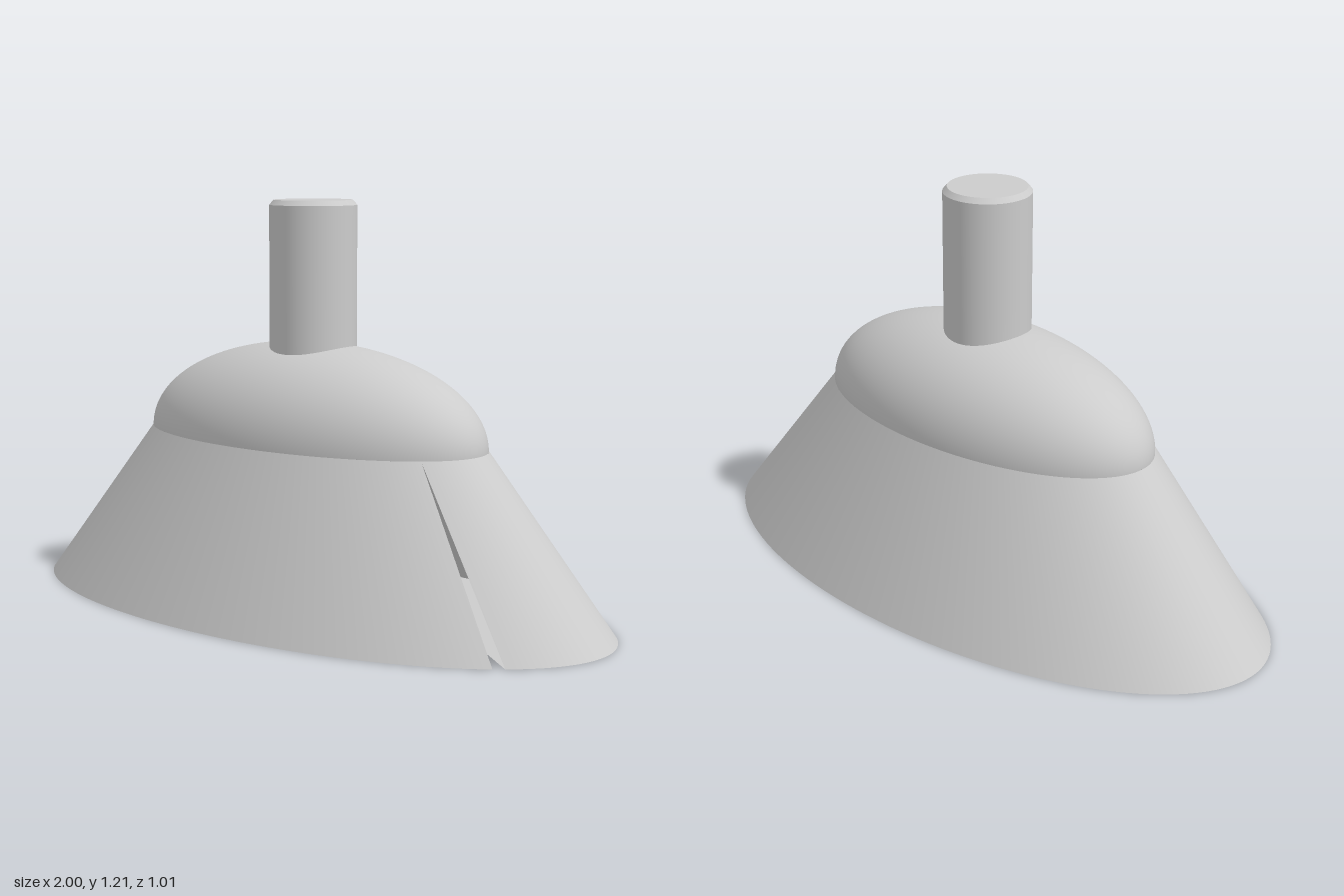
import * as THREE from 'three';

const SEGMENTS = 128;
const START = 0.56; // angle of the slit on the rim
const FAN = 82; // rim point from which the underside fans out
const SKIRT_H = 0.5;

const material = new THREE.MeshStandardMaterial({ color: 0xcccccc, side: THREE.DoubleSide });

function add(group, name, geometry, y = 0) {
  const mesh = new THREE.Mesh(geometry, material);
  mesh.name = name;
  mesh.position.y = y;
  group.add(mesh);
}

// One elliptical ring of points at height y
function ring(rx, rz, y) {
  const out = [];
  for (let i = 0; i < SEGMENTS; i++) {
    const t = START + (i * 2 * Math.PI) / SEGMENTS;
    out.push(rx * Math.cos(t), y, rz * Math.sin(t));
  }
  return out;
}

function meshFrom(positions, index) {
  const g = new THREE.BufferGeometry();
  g.setAttribute('position', new THREE.Float32BufferAttribute(positions, 3));
  g.setIndex(index);
  g.computeVertexNormals();
  return g;
}

export function createModel() {
  const model = new THREE.Group();
  model.name = 'ellipticalFoot';

  // Flared skirt and underside, both open at the first segment (narrow slit)
  const rim = ring(1, 0.505, 0);
  const shoulder = ring(0.59, 0.3, SKIRT_H);
  const sideIndex = [];
  const baseIndex = [];
  for (let i = 0; i < SEGMENTS; i++) {
    const j = (i + 1) % SEGMENTS;
    if (i > 0) sideIndex.push(i, SEGMENTS + i, j);
    sideIndex.push(SEGMENTS + i, SEGMENTS + j, j);
    if (i > 0 && i !== FAN && j !== FAN) baseIndex.push(FAN, i, j);
  }
  add(model, 'skirt', meshFrom([...rim, ...shoulder], sideIndex));
  add(model, 'underside', meshFrom(rim, baseIndex));

  // Half-ellipsoid dome on the shoulder
  const dome = new THREE.SphereGeometry(1, SEGMENTS, 32, 0, Math.PI * 2, 0, Math.PI / 2);
  dome.scale(0.59, 0.285, 0.3);
  add(model, 'dome', dome, SKIRT_H);

  // Round stem with a chamfered top
  add(model, 'stem', new THREE.CylinderGeometry(0.13, 0.13, 0.49, 64, 1, true), 0.945);
  add(model, 'stemChamfer', new THREE.CylinderGeometry(0.117, 0.13, 0.015, 64, 1, true), 1.1975);
  const top = new THREE.CircleGeometry(0.117, 64);
  top.rotateX(-Math.PI / 2);
  add(model, 'stemTop', top, 1.205);

  return model;
}
